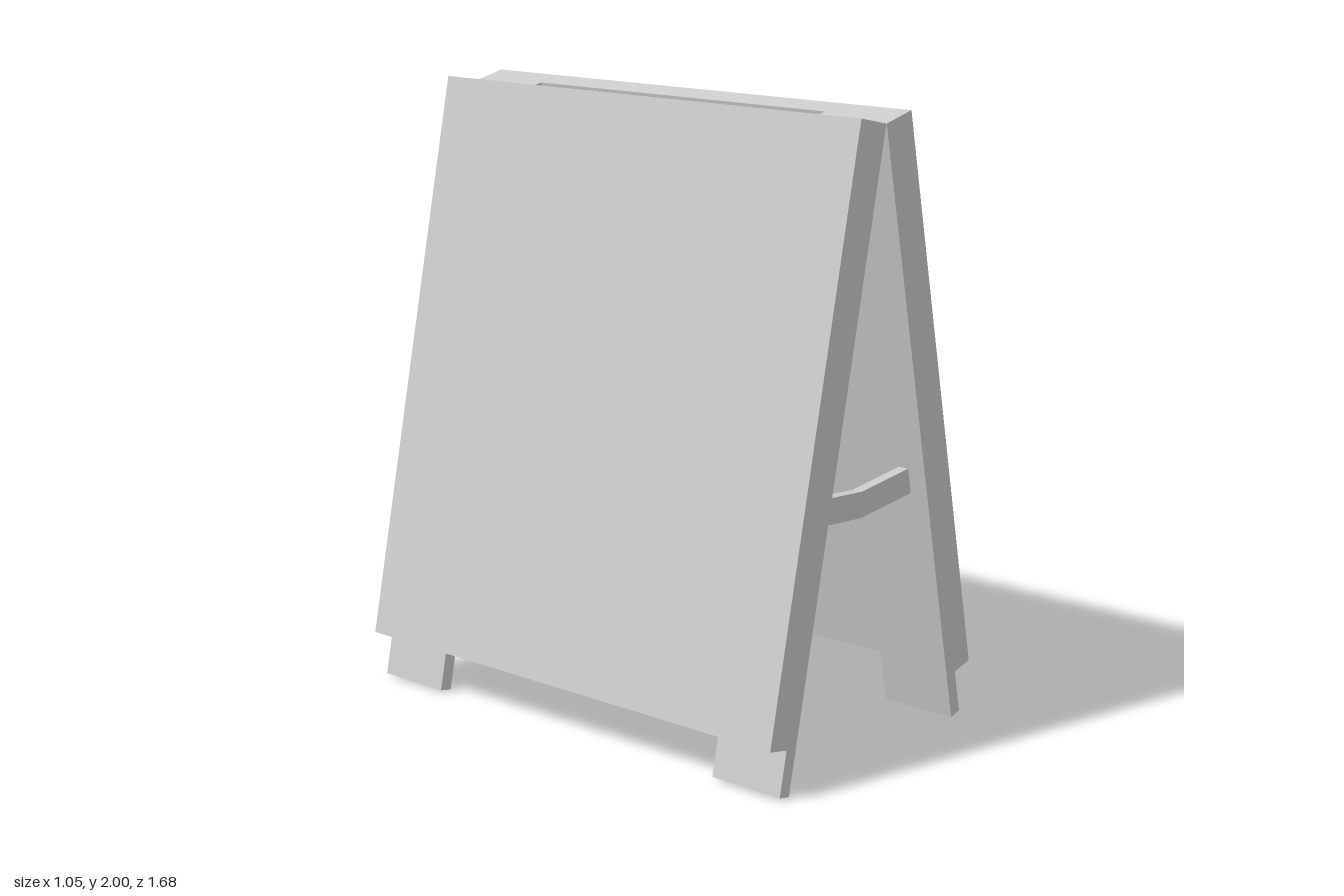
import * as THREE from 'three';

const HALF_DEPTH = 0.84;
const LEG_WIDTH = 0.258;

export function createModel() {
  const group = new THREE.Group();
  group.name = 'aFrameSign';
  const material = new THREE.MeshStandardMaterial({ color: 0xcccccc, flatShading: true });

  // Extrudes an x-y outline from z0 to z1
  function addSlab(name, points, z0, z1) {
    const shape = new THREE.Shape(points.map(([x, y]) => new THREE.Vector2(x, y)));
    const geometry = new THREE.ExtrudeGeometry(shape, { depth: z1 - z0, bevelEnabled: false });
    geometry.translate(0, 0, z0);
    const mesh = new THREE.Mesh(geometry, material);
    mesh.name = name;
    group.add(mesh);
  }

  // Rectangle on the leaning side: d0..d1 outward from the inner face, length down the slope
  function leaning(side, d0, d1, length) {
    const at = (d, t) => [side * (0.001 + 0.977 * d + 0.2136 * t), 1.974 + 0.2136 * d - 0.977 * t];
    return [at(d0, 0), at(d1, 0), at(d1, length), at(d0, length)];
  }

  for (const side of [1, -1]) {
    const label = side > 0 ? 'left' : 'right';
    // Wide outer board, with two longer leg planks on its inner face
    addSlab(label + 'Board', leaning(side, 0.046, 0.128, 1.874), -HALF_DEPTH, HALF_DEPTH);
    addSlab(label + 'FrontLeg', leaning(side, 0, 0.046, 2.02), HALF_DEPTH - LEG_WIDTH, HALF_DEPTH);
    addSlab(label + 'BackLeg', leaning(side, 0, 0.046, 2.02), -HALF_DEPTH, LEG_WIDTH - HALF_DEPTH);
  }

  // Slightly sagging braces between the legs
  const brace = [[-0.245, 0.865], [-0.263, 0.782], [0, 0.76], [0.263, 0.782], [0.245, 0.865], [0, 0.843]];
  addSlab('frontBrace', brace, 0.743, 0.778);
  addSlab('backBrace', brace, -0.778, -0.743);

  return group;
}
